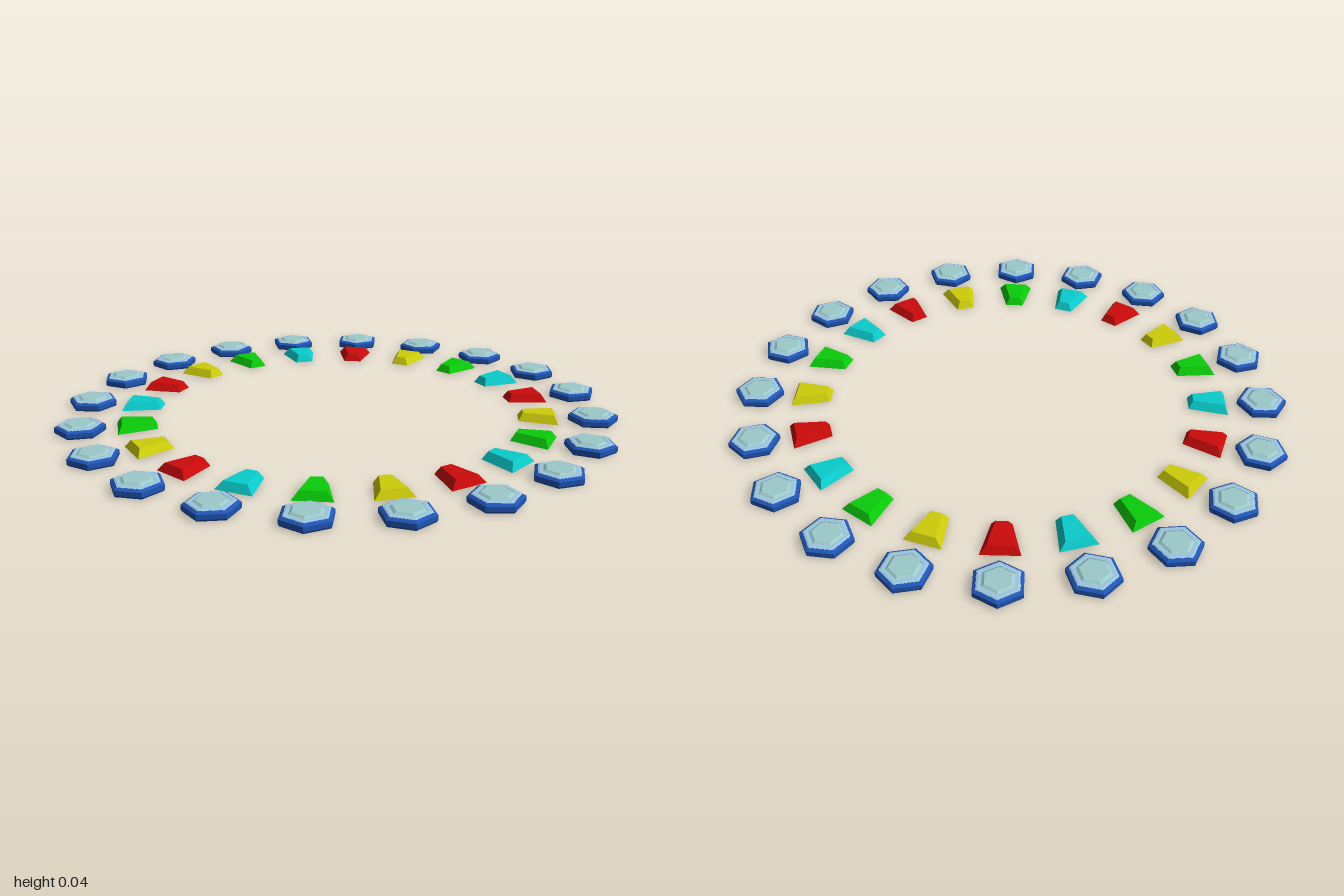
import * as THREE from 'three';

const mat = (name, color) => {
  const m = new THREE.MeshStandardMaterial({ color });
  m.name = name;
  return m;
};

// Six-sided faceted solid turned from a profile of [radius, height] pairs
function hexTurned(profile) {
  const points = profile.map(([r, y]) => new THREE.Vector2(r, y));
  const g = new THREE.LatheGeometry(points, 6).toNonIndexed();
  g.computeVertexNormals();
  return g;
}

// Tapered cut stone: wide at its outer (+z) end, with an inset flat top
function taperedStone() {
  const g = new THREE.BoxGeometry(2, 1, 2);
  const p = g.attributes.position;
  for (let i = 0; i < p.count; i++) {
    const top = p.getY(i) > 0, outer = p.getZ(i) > 0;
    const half = top ? (outer ? 0.042 : 0.02) : (outer ? 0.065 : 0.034);
    const z = outer ? (top ? 0.772 : 0.787) : (top ? 0.665 : 0.65);
    p.setXYZ(i, Math.sign(p.getX(i)) * half, top ? 0.03 : 0.002, z);
  }
  g.computeVertexNormals();
  return g;
}

export function createModel() {
  const model = new THREE.Group();
  model.name = 'jewelRing';

  const blue = mat('settingBlue', 0x1f55b5);
  const pale = mat('paleBlue', 0x9cc6de);
  const teal = mat('paleTeal', 0x9ccaca);
  const stoneMats = [
    mat('green', 0x0acc0a), mat('cyan', 0x0acccc),
    mat('red', 0xcc0a0a), mat('yellow', 0xcccc0a),
  ];

  // Closed loop for the setting, open bands for collar and gem
  const settingGeo = hexTurned([
    [0.066, 0], [0.084, 0], [0.088, 0.006], [0.088, 0.022],
    [0.076, 0.029], [0.066, 0.027], [0.066, 0],
  ]);
  const collarGeo = hexTurned([[0.077, 0.0285], [0.07, 0.031], [0.057, 0.031], [0.057, 0.025]]);
  const gemGeo = hexTurned([[0, 0.006], [0.066, 0.006], [0.058, 0.029], [0.047, 0.036], [0, 0.036]]);
  const stoneGeo = taperedStone();

  const add = (group, name, geometry, material, z = 0) => {
    const mesh = new THREE.Mesh(geometry, material);
    mesh.name = name;
    mesh.position.z = z;
    group.add(mesh);
  };

  // Twenty stations around the circle, each pointing outwards along local +z
  const count = 20, start = THREE.MathUtils.degToRad(-96.1);
  for (let i = 0; i < count; i++) {
    const a = start + (i / count) * Math.PI * 2;
    const station = new THREE.Group();
    station.name = 'station' + (i + 1);
    station.rotation.y = Math.PI / 2 - a;
    add(station, 'setting', settingGeo, blue, 0.914);
    add(station, 'collar', collarGeo, pale, 0.914);
    add(station, 'hexGem', gemGeo, teal, 0.914);
    add(station, 'taperedStone', stoneGeo, stoneMats[i % 4]);
    model.add(station);
  }
  return model;
}
